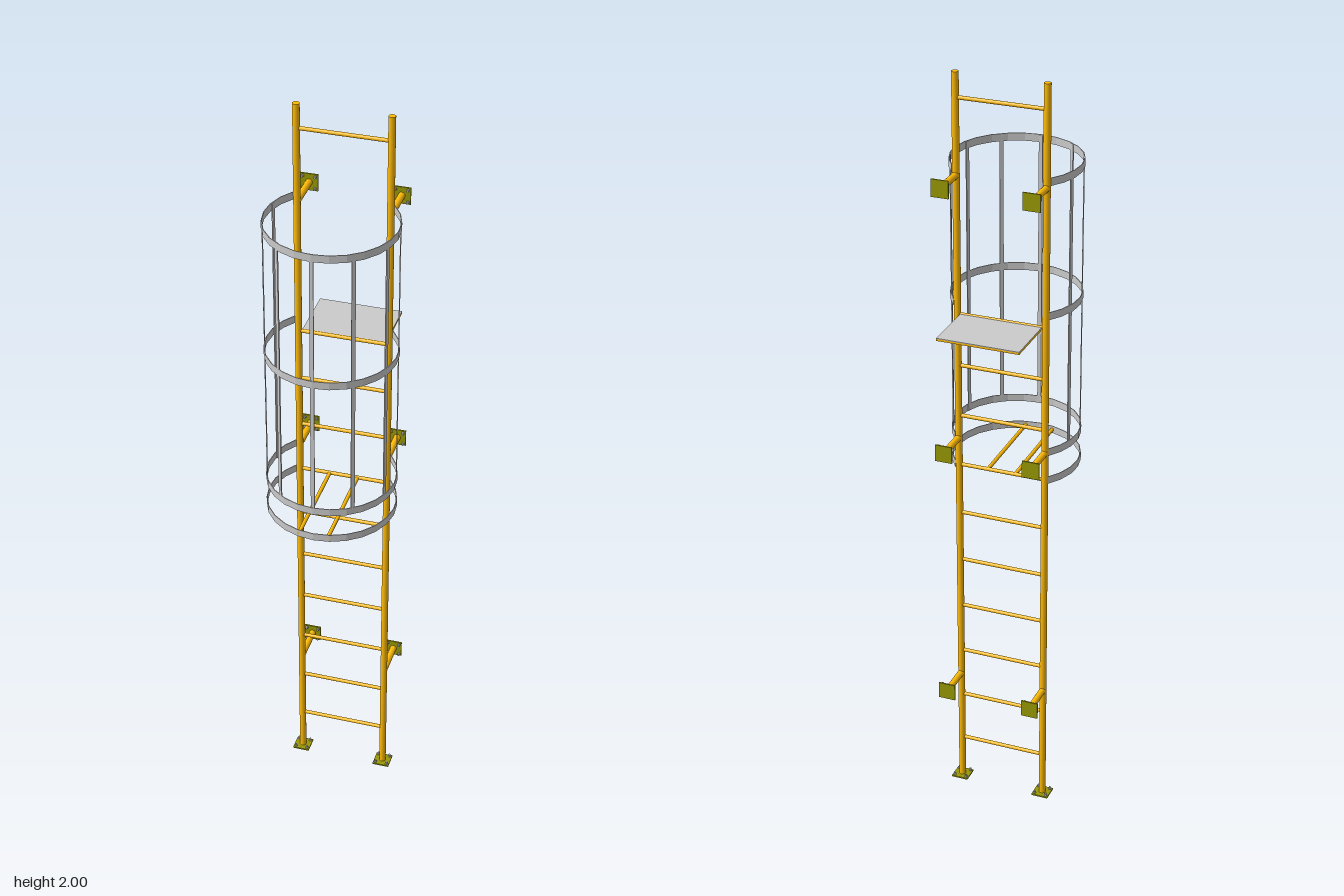
import * as THREE from 'three';

const yellow = new THREE.MeshStandardMaterial({ color: 0xffbb08 });
const olive = new THREE.MeshStandardMaterial({ color: 0x999905 });
const grey = new THREE.MeshStandardMaterial({ color: 0xcccccc });

const RAIL_X = 0.116, RAIL_Z = -0.059;
const HOOP_R = 0.164, HOOP_Z = 0.048;

function add(parent, name, geometry, material, x = 0, y = 0, z = 0) {
  const mesh = new THREE.Mesh(geometry, material);
  mesh.name = name;
  mesh.position.set(x, y, z);
  parent.add(mesh);
  return mesh;
}

// Round bar along a chosen axis
function bar(parent, name, axis, radius, length, x, y, z, material = yellow) {
  const g = new THREE.CylinderGeometry(radius, radius, length, 16);
  if (axis === 'x') g.rotateZ(Math.PI / 2);
  if (axis === 'z') g.rotateX(Math.PI / 2);
  return add(parent, name, g, material, x, y, z);
}

// Square fixing plate lying flat, with four bolts on top
function boltedPlate(name) {
  const plate = new THREE.Group();
  plate.name = name;
  add(plate, 'plate', new THREE.BoxGeometry(0.045, 0.004, 0.045), olive, 0, 0.002, 0);
  for (const sx of [-1, 1]) for (const sz of [-1, 1]) {
    add(plate, 'boltHead', new THREE.CylinderGeometry(0.004, 0.004, 0.004, 6), grey, sx * 0.016, 0.006, sz * 0.016);
    bar(plate, 'boltEnd', 'y', 0.0025, 0.004, sx * 0.016, 0.01, sz * 0.016, grey);
  }
  return plate;
}

// Flat hoop, open at the back where it meets the rails
function hoopGeometry() {
  const end = THREE.MathUtils.degToRad(131), n = 18, t = 0.001;
  const points = [];
  for (let i = 0; i <= n; i++) {
    const a = -end + (2 * end * i) / n;
    points.push(new THREE.Vector2(Math.sin(a) * (HOOP_R + t), -Math.cos(a) * (HOOP_R + t)));
  }
  for (let i = n; i >= 0; i--) {
    const a = -end + (2 * end * i) / n;
    points.push(new THREE.Vector2(Math.sin(a) * (HOOP_R - t), -Math.cos(a) * (HOOP_R - t)));
  }
  const g = new THREE.ExtrudeGeometry(new THREE.Shape(points), { depth: 0.02, bevelEnabled: false });
  g.rotateX(-Math.PI / 2);
  g.translate(0, -0.01, 0);
  return g;
}

export function createModel() {
  const model = new THREE.Group();
  model.name = 'cagedLadder';

  const ladder = new THREE.Group();
  ladder.name = 'ladder';
  ladder.position.x = -0.002;
  model.add(ladder);

  // Rails, feet and wall brackets on both sides
  for (const side of [-1, 1]) {
    const x = side * RAIL_X;
    bar(ladder, 'rail', 'y', 0.009, 1.996, x, 1.002, RAIL_Z);
    const foot = boltedPlate('footPlate');
    foot.position.set(x, 0, RAIL_Z);
    ladder.add(foot);
    for (const y of [0.331, 1.037, 1.742]) {
      bar(ladder, 'wallBracketArm', 'z', 0.0088, 0.097, x, y, -0.1075);
      const plate = boltedPlate('wallPlate');
      plate.rotation.x = Math.PI / 2;
      plate.position.set(x, y, -0.16);
      ladder.add(plate);
    }
  }

  // Rungs, leaving the exit opening above the platform clear
  for (let i = 0; i < 14; i++) {
    if (i >= 10 && i <= 12) continue;
    bar(ladder, 'rung', 'x', 0.005, RAIL_X * 2, 0, 0.125 + i * 0.1393, RAIL_Z);
  }

  // Rest platform behind the ladder
  add(ladder, 'platformBase', new THREE.BoxGeometry(0.214, 0.005, 0.15), yellow, 0, 1.3765, -0.139);
  add(ladder, 'platformTop', new THREE.BoxGeometry(0.214, 0.002, 0.15), grey, 0, 1.38, -0.139);

  // Safety cage hoops
  const cage = new THREE.Group();
  cage.name = 'safetyCage';
  cage.position.z = HOOP_Z;
  model.add(cage);
  const hoop = hoopGeometry();
  for (const y of [0.96, 1.039, 1.411, 1.757]) add(cage, 'hoop', hoop, grey, 0, y, 0);

  // Upright flat straps inside the hoops
  for (let i = -3; i <= 3; i++) {
    const a = THREE.MathUtils.degToRad(35 * i), r = HOOP_R - 0.0022;
    const strap = add(cage, 'cageStrap', new THREE.BoxGeometry(0.01, 0.736, 0.003), grey,
      Math.sin(a) * r, 1.398, Math.cos(a) * r);
    strap.rotation.y = a;
  }

  // Two bars closing the bottom of the cage
  for (const side of [-1, 1]) {
    bar(model, 'cageFloorBar', 'z', 0.005, 0.267, side * 0.037 - 0.001, 0.96, 0.0745);
  }
  return model;
}
